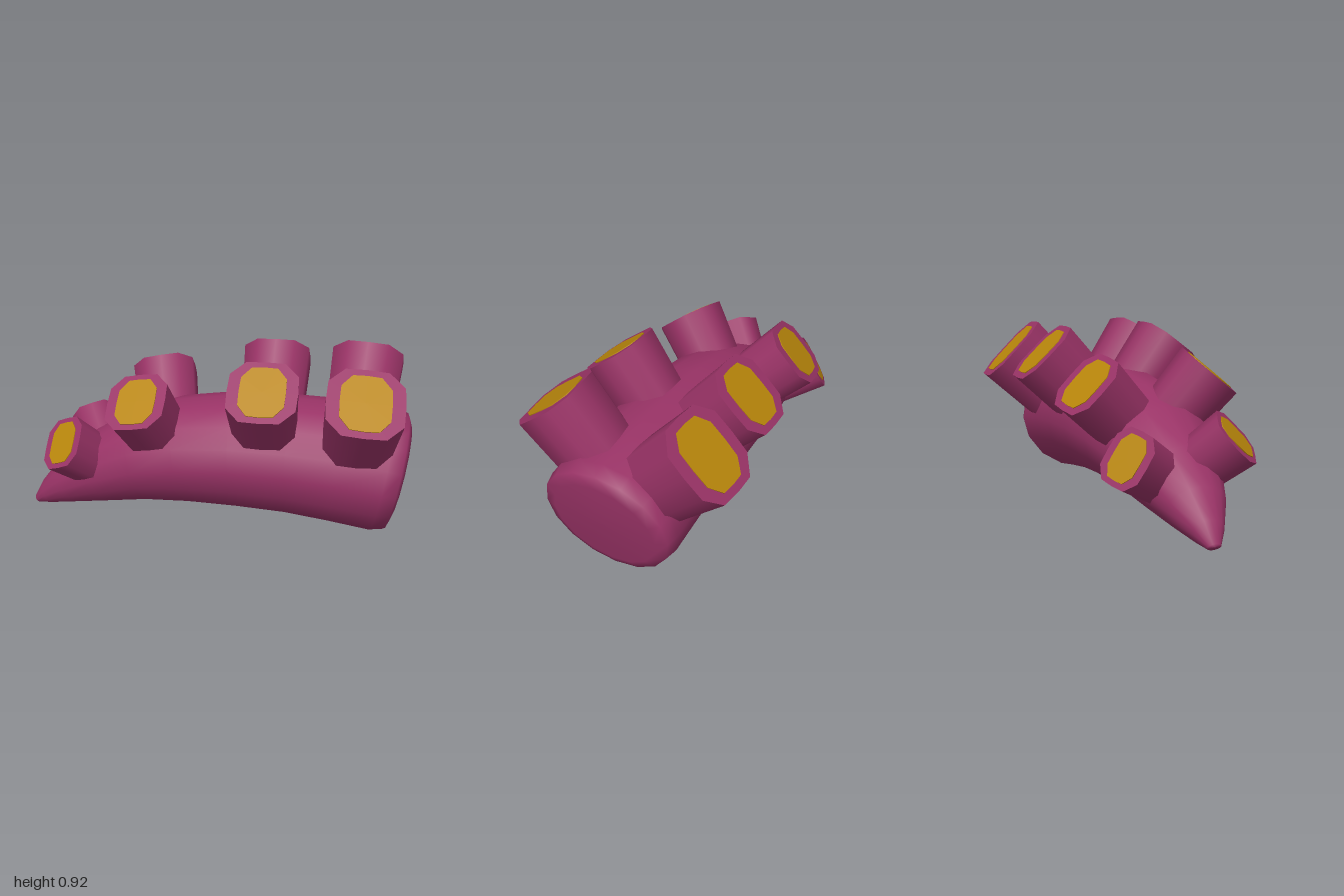
import * as THREE from 'three';

const skin = new THREE.MeshStandardMaterial({ color: 0x993366 });
skin.name = 'plumSkin';
const amber = new THREE.MeshStandardMaterial({ color: 0xb8860b });
amber.name = 'amberPad';

const SIDES = 16;
const CENTRE_Z = 0.04;

// Smooth body from cross-sections: bottom x, bottom y, top x, top y, half width
function bodyGeometry() {
  const sections = [
    [-0.995, 0.022, -0.995, 0.022, 0],
    [-0.97, 0.003, -1.0, 0.04, 0.035],
    [-0.9, 0.01, -0.95, 0.135, 0.08],
    [-0.75, 0.035, -0.85, 0.265, 0.15],
    [-0.55, 0.065, -0.68, 0.42, 0.22],
    [-0.35, 0.095, -0.44, 0.565, 0.28],
    [-0.12, 0.105, -0.2, 0.645, 0.315],
    [0.13, 0.1, 0.1, 0.685, 0.335],
    [0.38, 0.085, 0.4, 0.685, 0.34],
    [0.6, 0.055, 0.66, 0.675, 0.345],
    [0.81, 0.022, 0.92, 0.645, 0.35],
    [0.88, 0.03, 0.985, 0.615, 0.335],
    [0.905, 0.075, 1.0, 0.56, 0.275],
    [0.955, 0.32, 0.955, 0.32, 0],
  ];
  const positions = [], index = [];
  for (const [xb, yb, xt, yt, w] of sections) {
    for (let j = 0; j < SIDES; j++) {
      const a = (j / SIDES) * Math.PI * 2, t = (1 + Math.cos(a)) / 2;
      positions.push(xb + (xt - xb) * t, yb + (yt - yb) * t, CENTRE_Z + w * Math.sin(a));
    }
  }
  for (let i = 0; i < sections.length - 1; i++) {
    for (let j = 0; j < SIDES; j++) {
      const k = (j + 1) % SIDES;
      const a = i * SIDES + j, c = i * SIDES + k, b = a + SIDES, d = c + SIDES;
      index.push(a, c, b, c, d, b);
    }
  }
  const g = new THREE.BufferGeometry();
  g.setAttribute('position', new THREE.Float32BufferAttribute(positions, 3));
  g.setIndex(index);
  g.computeVertexNormals();
  return g;
}

// Twelve-sided cylinder pushed out towards a rounded square
function squaredCylinder(top, bottom, height) {
  const g = new THREE.CylinderGeometry(top, bottom, height, 12);
  const p = g.attributes.position;
  for (let i = 0; i < p.count; i++) {
    const x = p.getX(i), z = p.getZ(i), r = Math.hypot(x, z);
    if (r < 1e-6) continue;
    const s = r / Math.pow(x ** 4 + z ** 4, 0.25);
    p.setX(i, x * s);
    p.setZ(i, z * s);
  }
  return g;
}

// Sucker: tapered stalk with a flat pad; its rim centre and axis are given
function sucker(name, rim, axis, rx, rz) {
  const length = rx * 2.1;
  const group = new THREE.Group();
  group.name = name;

  const stalk = new THREE.Mesh(squaredCylinder(1, 0.9, length), skin);
  stalk.name = name + 'Stalk';
  stalk.scale.set(rx, 1, rz);
  stalk.position.y = -length / 2;

  const pad = new THREE.Mesh(squaredCylinder(1, 1, 0.006), amber);
  pad.name = name + 'Pad';
  pad.scale.set(rx * 0.66, 1, rz * 0.81);
  pad.position.y = 0.001;
  group.add(stalk, pad);

  const y = new THREE.Vector3(...axis).normalize();
  const x = new THREE.Vector3(1, 0, 0);
  x.addScaledVector(y, -x.dot(y)).normalize();
  const z = new THREE.Vector3().crossVectors(x, y);
  group.quaternion.setFromRotationMatrix(new THREE.Matrix4().makeBasis(x, y, z));
  group.position.set(...rim);
  return group;
}

export function createModel() {
  const model = new THREE.Group();
  model.name = 'tentacle';

  const body = new THREE.Mesh(bodyGeometry(), skin);
  body.name = 'body';
  model.add(body);

  // Two rows of suckers, from the thick end to the tip
  const front = [
    [[0.765, 0.805, 0.4], [0.1, 0.8, 0.6], 0.185, 0.19],
    [[0.28, 0.82, 0.365], [0, 0.8, 0.6], 0.17, 0.175],
    [[-0.345, 0.72, 0.32], [-0.22, 0.77, 0.6], 0.155, 0.16],
    [[-0.75, 0.455, 0.265], [-0.5, 0.62, 0.6], 0.12, 0.14],
  ];
  const back = [
    [[0.76, 0.76, -0.41], [0.08, 0.7, -0.71], 0.19, 0.21],
    [[0.28, 0.78, -0.365], [0, 0.72, -0.7], 0.175, 0.19],
    [[-0.335, 0.68, -0.325], [-0.22, 0.68, -0.7], 0.165, 0.17],
    [[-0.73, 0.39, -0.27], [-0.45, 0.47, -0.75], 0.125, 0.14],
  ];
  front.forEach((s, i) => model.add(sucker('frontSucker' + (i + 1), ...s)));
  back.forEach((s, i) => model.add(sucker('backSucker' + (i + 1), ...s)));
  return model;
}
